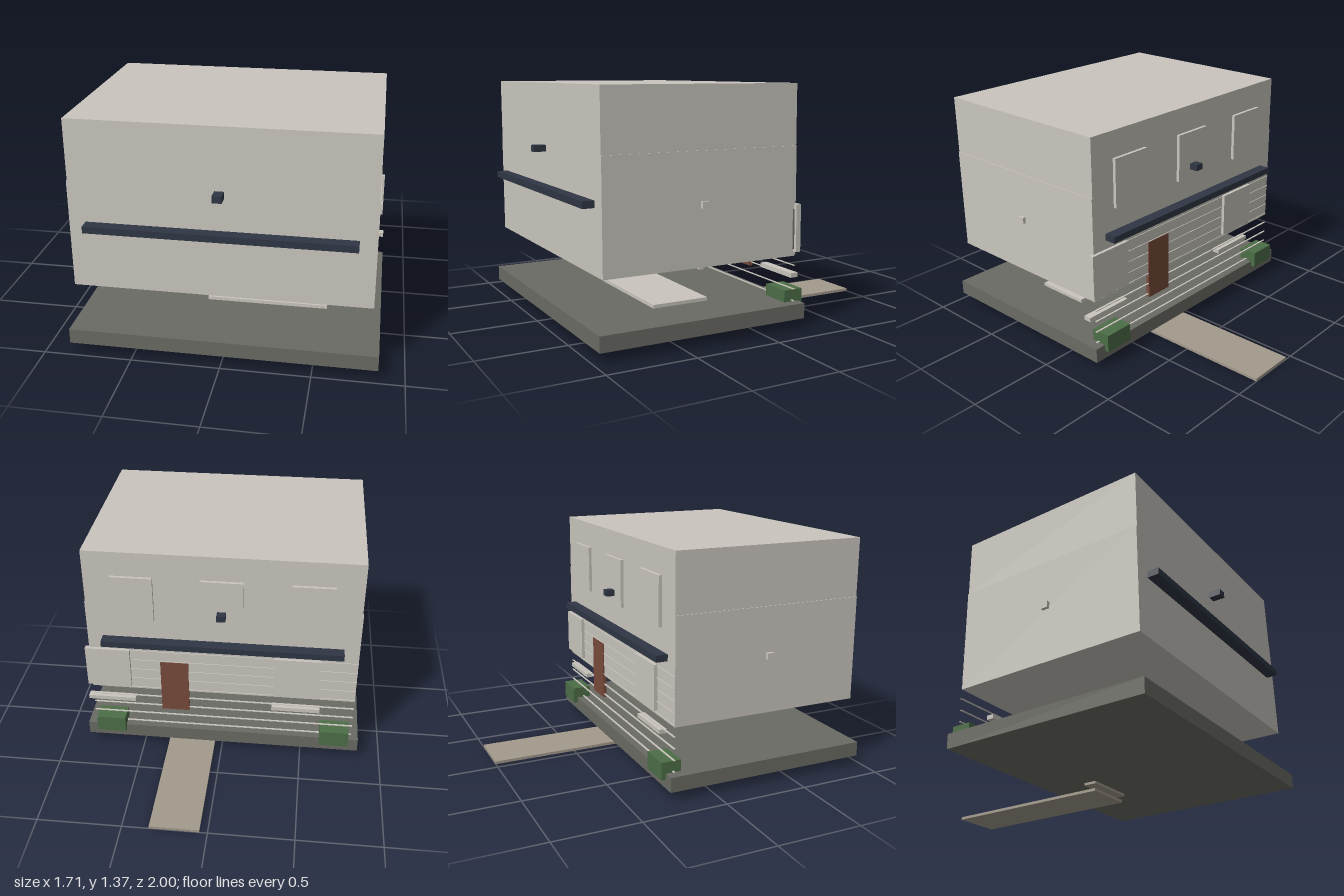
import * as THREE from 'three';

const mat = (name, color) => {
  const m = new THREE.MeshStandardMaterial({ color });
  m.name = name;
  return m;
};

export function createModel() {
  const house = new THREE.Group();
  house.name = 'house';

  const wall = mat('warm white', 0xcac6be);
  const stone = mat('dark stone', 0x6b6b64);
  const navy = mat('dark navy', 0x2f3644);
  const green = mat('hedge green', 0x4c6e47);
  const wood = mat('door brown', 0x774a3b);
  const paving = mat('paving tan', 0xa39a8c);

  // Box given by its extents on each axis
  const box = (name, material, [x0, x1], [y0, y1], [z0, z1]) => {
    const mesh = new THREE.Mesh(new THREE.BoxGeometry(x1 - x0, y1 - y0, z1 - z0), material);
    mesh.position.set((x0 + x1) / 2, (y0 + y1) / 2, (z0 + z1) / 2);
    mesh.name = name;
    house.add(mesh);
    return mesh;
  };

  // Ground slab, path and steps
  box('foundation', stone, [-0.858, 0.855], [0.06, 0.147], [-0.27, 0.97]);
  box('path', paving, [0.047, 0.34], [0.003, 0.02], [-1, 0.065]);
  box('step', paving, [0.038, 0.352], [0.045, 0.06], [-0.005, 0.075]);
  box('floorPlate', wall, [-0.157, 0.545], [0.147, 0.167], [0.18, 0.52]);

  // Two storeys
  box('lowerStorey', wall, [-0.816, 0.813], [0.415, 1.03], [-0.228, 0.93]);
  box('upperStorey', wall, [-0.811, 0.808], [1.03, 1.37], [-0.228, 0.93]);

  // Ledges and small blocks on both long walls
  for (const z of [[0.93, 0.995], [-0.297, -0.228]]) {
    box('ledge', navy, [-0.725, 0.72], [0.762, 0.8], z);
    box('wallBlock', navy, [-0.027, 0.025], [0.985, 1.022], [z[0], z[1] + (z[0] > 0 ? 0.005 : 0)]);
  }

  // Side knobs
  box('leftKnob', wall, [0.8, 0.83], [0.73, 0.767], [0.332, 0.374]);
  box('rightKnob', wall, [-0.835, -0.8], [0.73, 0.767], [0.332, 0.374]);

  // Posts under the house
  for (const x of [-0.117, 0.502])
    box('post', wall, [x - 0.013, x + 0.013], [0.323, 0.42], [0.188, 0.214]);

  // Siding strips on the door side
  for (let i = 0; i < 9; i++) {
    const y = 0.155 + i * 0.068;
    box('sidingStrip', wall, [-0.816, 0.813], [y - 0.002, y + 0.002], [-0.233, -0.222]);
  }

  // Upper windows
  for (const x of [-0.525, 0, 0.525])
    box('upperWindow', wall, [x - 0.125, x + 0.125], [0.932, 1.217], [-0.247, -0.225]);

  // Lower windows, panes and sills
  for (const x of [-0.458, 0.7]) {
    box('lowerWindow', wall, [x - 0.137, x + 0.137], [0.44, 0.708], [-0.247, -0.217]);
    box('windowPane', stone, [x - 0.12, x + 0.12], [0.455, 0.68], [-0.217, -0.21]);
    box('windowSill', wall, [x - 0.15, x + 0.15], [0.302, 0.328], [-0.222, -0.177]);
  }

  // Door with an inner panel
  box('door', wood, [0.206, 0.378], [0.27, 0.63], [-0.236, -0.214]);
  box('doorPanel', stone, [0.24, 0.342], [0.345, 0.58], [-0.214, -0.21]);

  // Planters at the corners
  for (const x of [-0.705, 0.7])
    box('planter', green, [x - 0.09, x + 0.09], [0.112, 0.215], [-0.297, -0.178]);

  return house;
}
